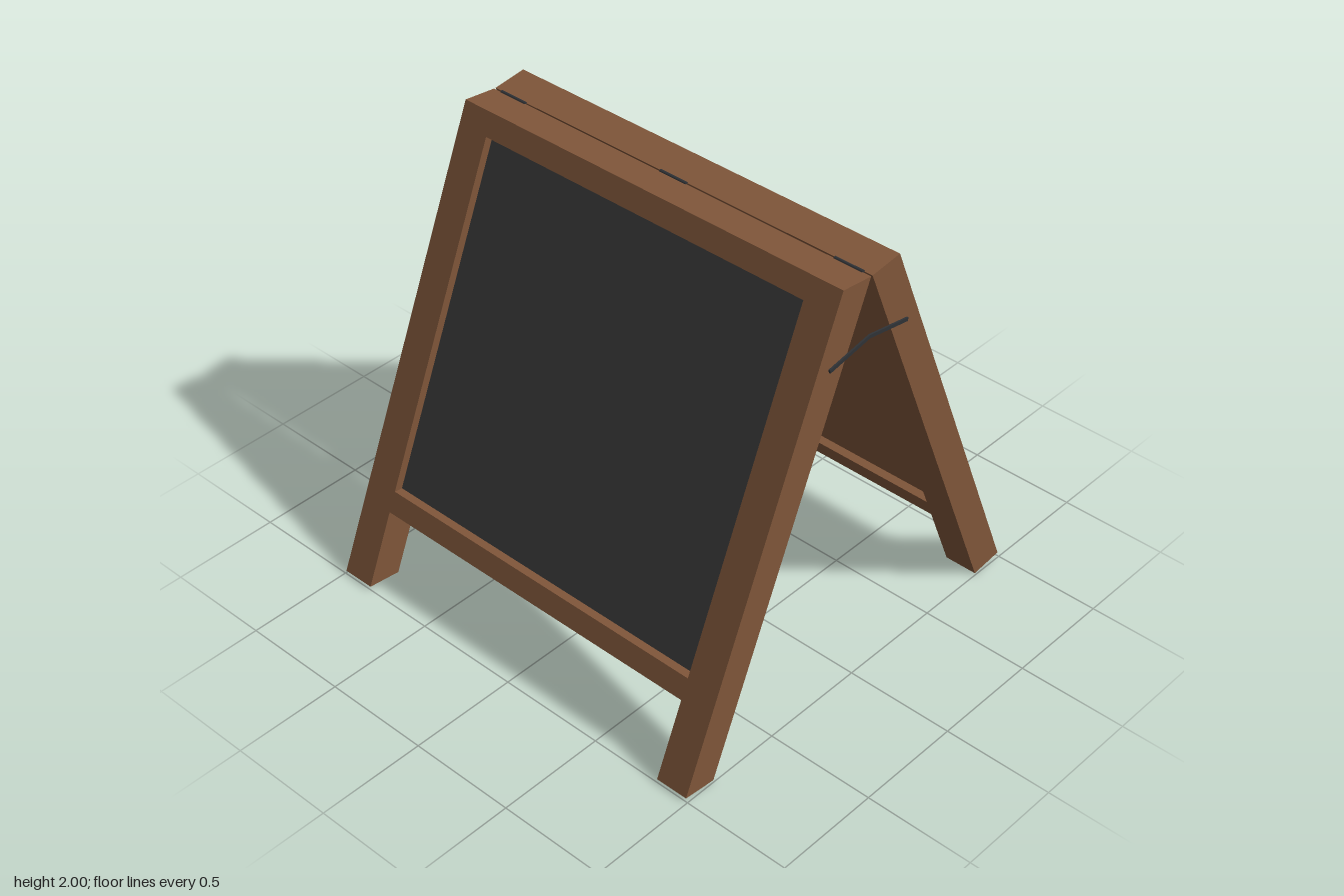
import * as THREE from 'three';

const wood = new THREE.MeshStandardMaterial({ color: 0x80563a });
wood.name = 'brown wood';
const slate = new THREE.MeshStandardMaterial({ color: 0x3b3b3b });
slate.name = 'chalkboard grey';
const metal = new THREE.MeshStandardMaterial({ color: 0x2f3236 });
metal.name = 'dark metal';

// Slanted panel space: x across, u from foot to top (0..1), d from inner to outer face (0..1)
const slant = new THREE.Matrix4().makeBasis(
  new THREE.Vector3(1, 0, 0),
  new THREE.Vector3(0, 1.982, -0.837),
  new THREE.Vector3(0, 0.018, 0.159),
).setPosition(0, 0, 0.841);

function slantedBox(name, [x0, x1], [u0, u1], [d0, d1], material) {
  const geometry = new THREE.BoxGeometry(x1 - x0, u1 - u0, d1 - d0);
  geometry.translate((x0 + x1) / 2, (u0 + u1) / 2, (d0 + d1) / 2);
  geometry.applyMatrix4(slant);
  geometry.deleteAttribute('normal');
  const flat = geometry.toNonIndexed();
  flat.computeVertexNormals();
  const mesh = new THREE.Mesh(flat, material);
  mesh.name = name;
  return mesh;
}

function makePanel(name) {
  const panel = new THREE.Group();
  panel.name = name;
  panel.add(
    slantedBox('leftLeg', [0.838, 0.992], [0, 1], [0, 1], wood),
    slantedBox('rightLeg', [-0.992, -0.838], [0, 1], [0, 1], wood),
    slantedBox('topRail', [-0.838, 0.838], [0.952, 1], [0, 1], wood),
    slantedBox('bottomRail', [-0.838, 0.838], [0.166, 0.211], [0, 1], wood),
    // board recessed in the frame: wooden back, slate writing face
    slantedBox('boardBacking', [-0.838, 0.838], [0.211, 0.952], [0.25, 0.7], wood),
    slantedBox('writingSurface', [-0.838, 0.838], [0.211, 0.952], [0.7, 0.75], slate),
  );
  return panel;
}

export function createModel() {
  const model = new THREE.Group();
  model.name = 'sandwichBoard';

  const front = makePanel('frontPanel');
  const back = makePanel('backPanel');
  back.rotation.y = Math.PI;
  model.add(front, back);

  // Hinges along the ridge
  for (const x of [-0.883, 0, 0.883]) {
    const hinge = new THREE.Mesh(new THREE.CylinderGeometry(0.008, 0.008, 0.138, 12), metal);
    hinge.name = 'hinge';
    hinge.rotation.z = Math.PI / 2;
    hinge.position.set(x, 1.981, 0);
    model.add(hinge);
  }

  // Folding stays on both sides: two thin bars meeting in the middle
  const length = Math.hypot(0.23, 0.04);
  for (const side of [1, -1]) {
    for (const end of [1, -1]) {
      const bar = new THREE.Mesh(new THREE.BoxGeometry(0.008, 0.016, length), metal);
      bar.name = 'foldingStay';
      bar.position.set(side * 0.996, 1.691, end * 0.114);
      bar.rotation.x = end * Math.atan2(0.04, 0.23);
      model.add(bar);
    }
  }
  return model;
}
